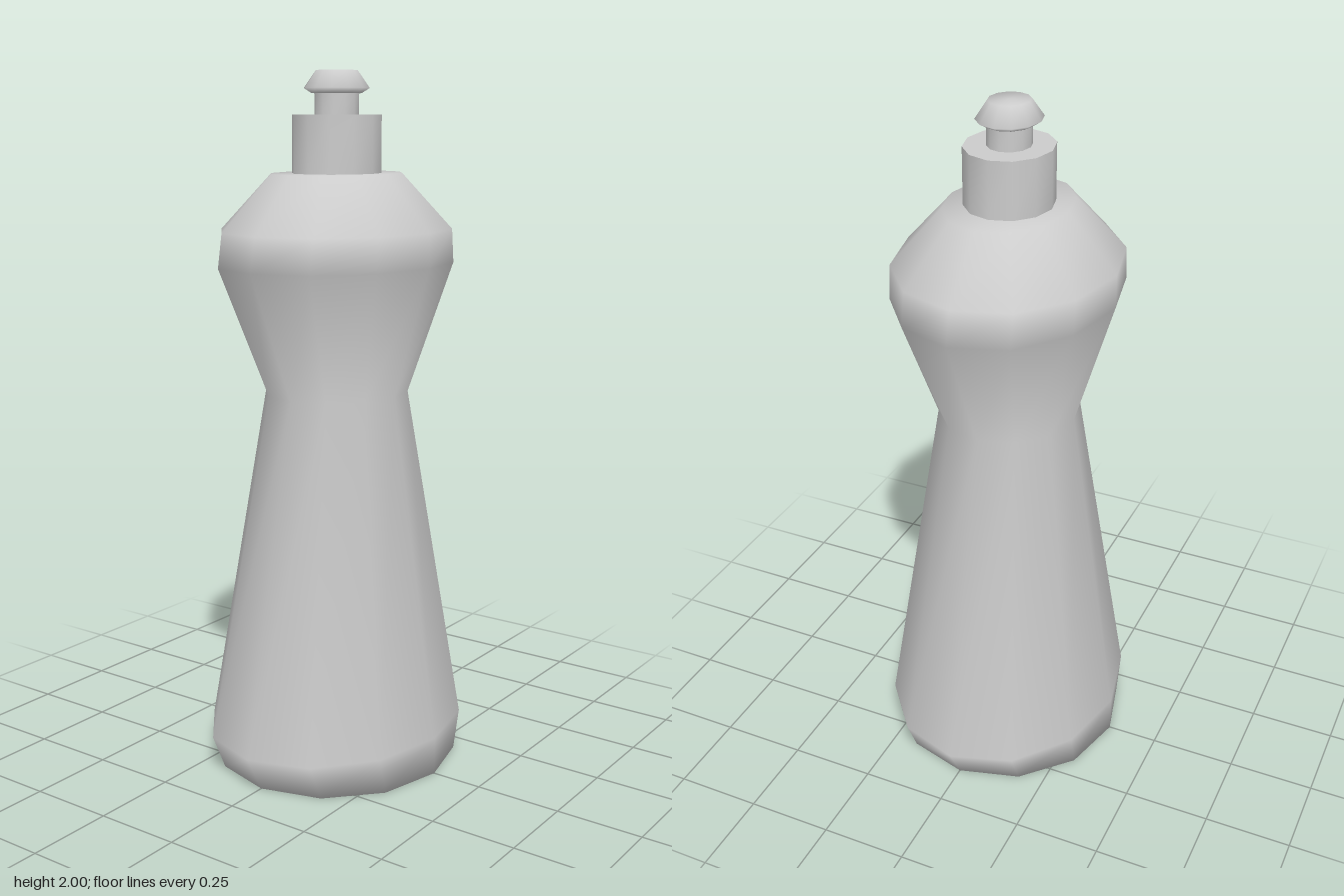
import * as THREE from 'three';
import { toCreasedNormals } from 'three/addons/utils/BufferGeometryUtils.js';

const SIDES = 12;

// Closed loft through elliptical rings [y, radiusX, radiusZ], listed bottom to top.
function loft(rings, crease) {
  const pos = [], idx = [];
  for (const [y, rx, rz] of rings) {
    for (let i = 0; i < SIDES; i++) {
      const a = (i / SIDES) * Math.PI * 2;
      pos.push(rx * Math.cos(a), y, rz * Math.sin(a));
    }
  }
  for (let r = 0; r < rings.length - 1; r++) {
    for (let i = 0; i < SIDES; i++) {
      const j = (i + 1) % SIDES;
      const a = r * SIDES + i, b = r * SIDES + j;
      idx.push(a, a + SIDES, b, b, a + SIDES, b + SIDES);
    }
  }
  // end caps
  const top = (rings.length - 1) * SIDES, c0 = pos.length / 3, c1 = c0 + 1;
  pos.push(0, rings[0][0], 0, 0, rings[rings.length - 1][0], 0);
  for (let i = 0; i < SIDES; i++) {
    const j = (i + 1) % SIDES;
    idx.push(c0, i, j, c1, top + j, top + i);
  }
  const geo = new THREE.BufferGeometry();
  geo.setAttribute('position', new THREE.Float32BufferAttribute(pos, 3));
  geo.setIndex(idx);
  geo.computeVertexNormals();
  return crease ? toCreasedNormals(geo, crease) : geo;
}

export function createModel() {
  const group = new THREE.Group();
  const material = new THREE.MeshStandardMaterial({ color: 0xcccccc });
  const add = (name, geometry) => {
    const mesh = new THREE.Mesh(geometry, material);
    mesh.name = name;
    group.add(mesh);
  };

  // Waisted oval bottle with a chamfered base and sloping shoulders
  add('bottleBody', loft([
    [0, 0.37, 0.35],
    [0.11, 0.43, 0.35],
    [1.1, 0.22, 0.2],
    [1.47, 0.39, 0.31],
    [1.565, 0.37, 0.31],
    [1.72, 0.22, 0.17],
  ]));

  // Screw collar
  add('collar', loft([[1.72, 0.135, 0.122], [1.88, 0.135, 0.122]], Math.PI / 4));

  // Narrow spout stem
  add('spoutStem', loft([[1.88, 0.066, 0.06], [1.945, 0.066, 0.06]], Math.PI / 4));

  // Push-pull cap, softly shaded
  add('spoutCap', loft([
    [1.938, 0.075, 0.068],
    [1.952, 0.1, 0.089],
    [2.0, 0.062, 0.057],
  ]));

  return group;
}
